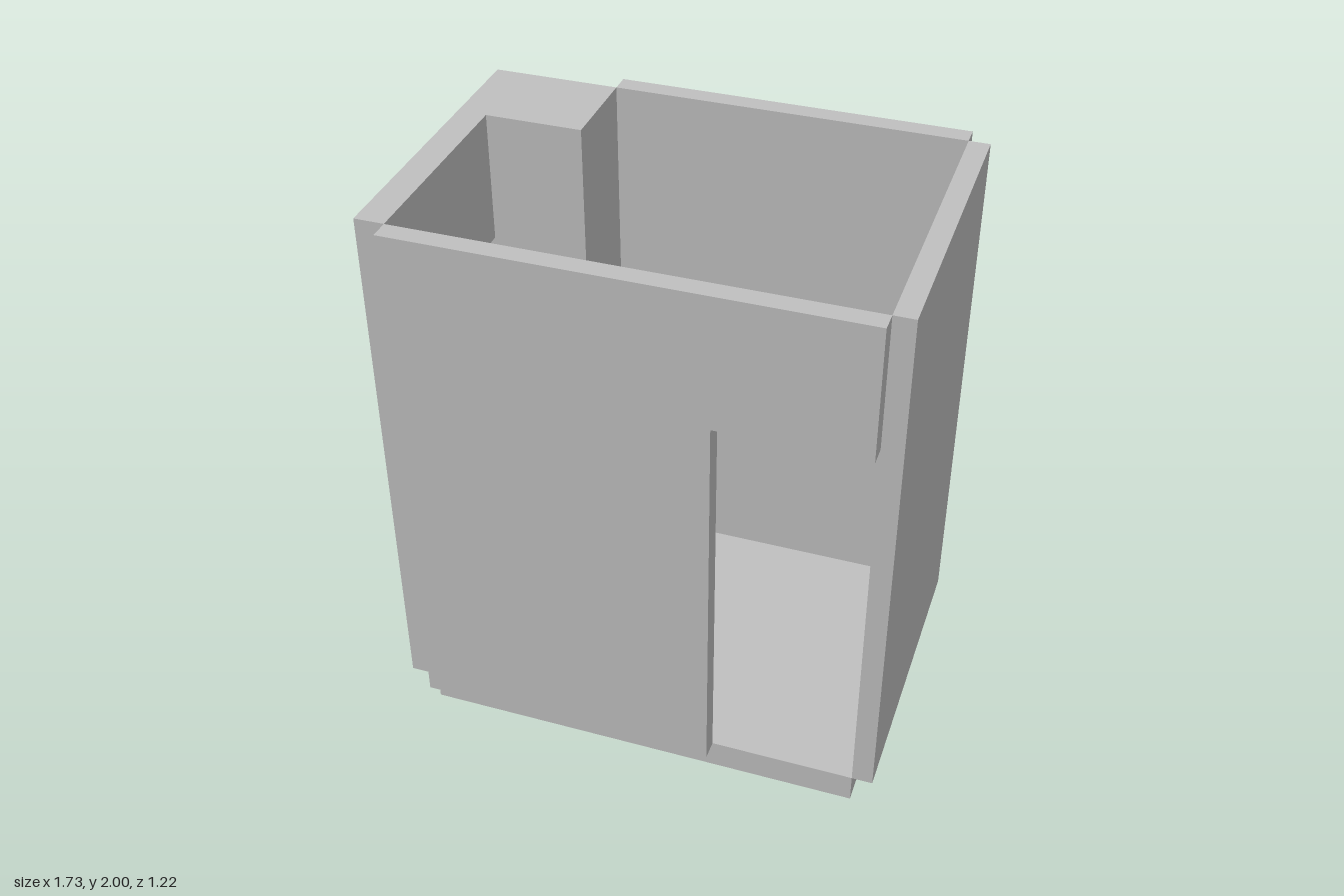
import * as THREE from 'three';

export function createModel() {
  const model = new THREE.Group();
  const grey = new THREE.MeshStandardMaterial({ color: 0xbfbfbf });
  grey.name = 'plain grey';

  const add = (name, geometry) => {
    const mesh = new THREE.Mesh(geometry, grey);
    mesh.name = name;
    model.add(mesh);
  };

  // Box given by its lower and upper bounds on each axis
  const slab = (name, [x0, x1], [y0, y1], [z0, z1]) => {
    const g = new THREE.BoxGeometry(x1 - x0, y1 - y0, z1 - z0);
    g.translate((x0 + x1) / 2, (y0 + y1) / 2, (z0 + z1) / 2);
    add(name, g);
  };

  const points = (list) => list.map(([x, y]) => new THREE.Vector2(x, y));

  const floorTop = 0.105, top = 2, head = 1.53;
  const inLeft = 0.793, outLeft = 0.865;     // inner and outer faces, +x wall
  const inRight = -0.763, outRight = -0.865; // inner and outer faces, -x wall
  const inZ = 0.542, outZ = 0.611;           // front and back wall faces
  const columnX = -0.424, columnZ = -0.21, doorX = 0.291;

  // Floor and plain walls
  slab('floor', [inRight, inLeft], [0, floorTop], [-inZ, inZ]);
  slab('leftWall', [inLeft, outLeft], [floorTop, top], [-inZ, inZ]);
  slab('backWall', [columnX, inLeft], [floorTop, top], [-outZ, -inZ]);

  // Solid corner shaft beside the back wall
  slab('cornerShaft', [inRight, columnX], [floorTop, top], [-inZ, columnZ]);

  // Front wall with the doorway cut out of its lower corner
  const front = new THREE.Shape(points([
    [inRight, floorTop], [doorX, floorTop], [doorX, head],
    [inLeft, head], [inLeft, top], [inRight, top],
  ]));
  const frontGeometry = new THREE.ExtrudeGeometry(front, { depth: outZ - inZ, bevelEnabled: false });
  frontGeometry.translate(0, 0, inZ);
  add('frontWall', frontGeometry);

  // Window wall, drawn in z and y, then turned to face -x
  const side = new THREE.Shape(points([
    [-inZ, floorTop], [inZ, floorTop], [inZ, top], [-inZ, top],
  ]));
  side.holes.push(new THREE.Path(points([
    [-0.265, 1.04], [-0.265, head], [0.275, head], [0.275, 1.04],
  ])));
  const sideGeometry = new THREE.ExtrudeGeometry(side, { depth: inRight - outRight, bevelEnabled: false });
  sideGeometry.rotateY(-Math.PI / 2);
  sideGeometry.translate(inRight, 0, 0);
  add('windowWall', sideGeometry);

  return model;
}
